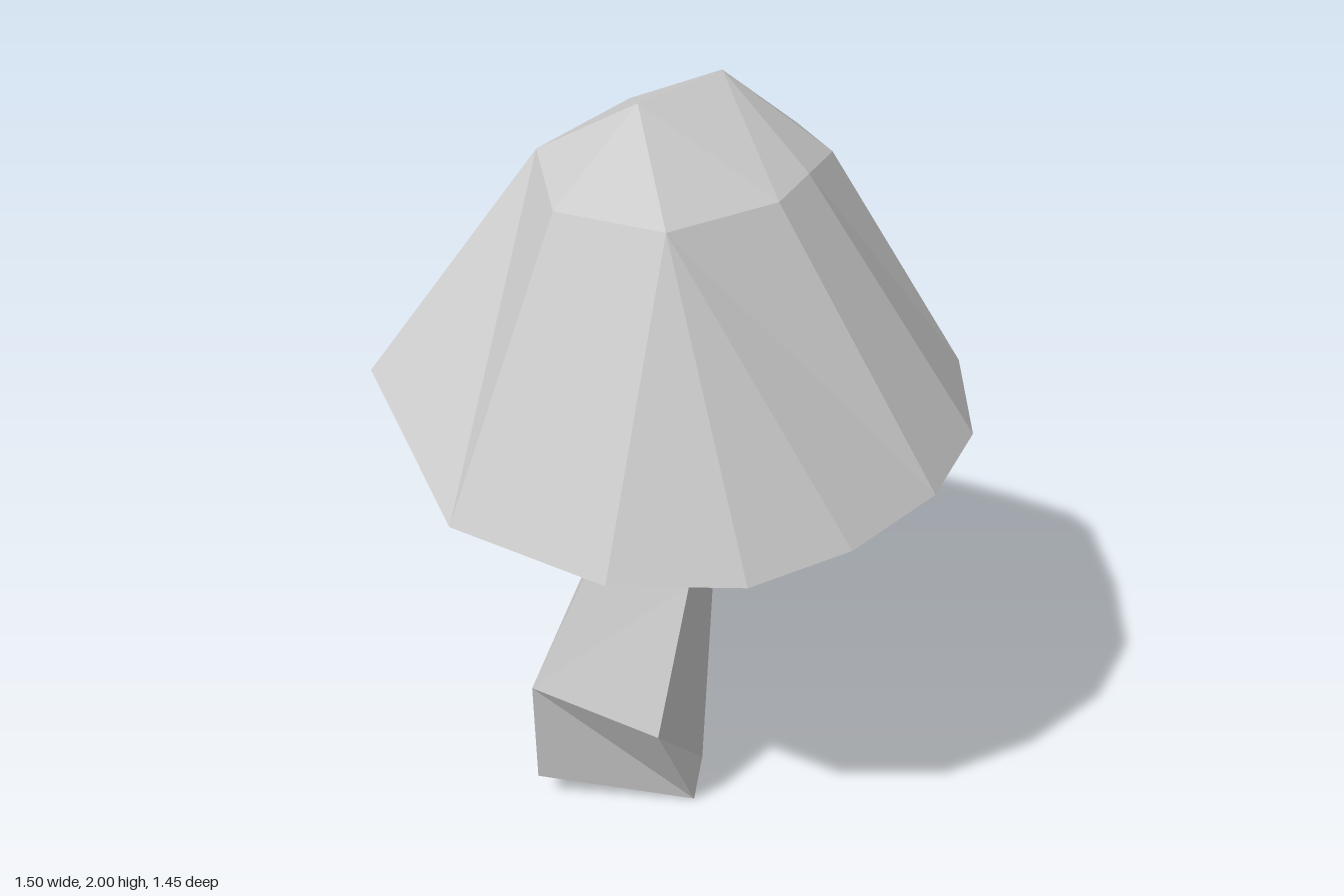
import * as THREE from 'three';

// Faceted mesh from convex polygons, each a list of [x, y, z] corners, counter-clockwise from outside
function facetMesh(name, polygons) {
  const pos = [];
  for (const p of polygons) {
    for (let i = 1; i < p.length - 1; i++) pos.push(...p[0], ...p[i], ...p[i + 1]);
  }
  const geo = new THREE.BufferGeometry();
  geo.setAttribute('position', new THREE.Float32BufferAttribute(pos, 3));
  geo.computeVertexNormals();
  const mat = new THREE.MeshStandardMaterial({ color: 0xcccccc, flatShading: true, side: THREE.DoubleSide });
  const mesh = new THREE.Mesh(geo, mat);
  mesh.name = name;
  return mesh;
}

// Quads between two rings that run front, +x, back, -x
function band(lower, upper) {
  return lower.map((p, i) => {
    const j = (i + 1) % lower.length;
    return [p, lower[j], upper[j], upper[i]];
  });
}

// Crooked five-sided stem; corners run front, +x, back, back, -x
function makeStem() {
  const foot = [[-0.07, 0, 0.17], [0.06, 0, 0.04], [0, 0.06, -0.33], [-0.18, 0.08, -0.38], [-0.41, 0.08, -0.09]];
  const waist = [[-0.09, 0.72, 0.17], [0.04, 0.72, 0.11], [0.03, 0.78, -0.1], [-0.12, 0.81, -0.13], [-0.22, 0.81, -0.03]];
  const neck = [[0.12, 1.13, -0.01], [0.07, 1.11, -0.13], [-0.06, 1.12, -0.17], [-0.14, 1, 0]];
  const top = [[0.06, 1.34, 0.05], [-0.01, 1.34, -0.08], [-0.07, 1.34, -0.1], [-0.11, 1.34, 0.12]];
  const [a, b, c, d, e] = foot;
  const [a3, b3, c3, d3, e3] = waist;
  const [f4, c4, d4, e4] = neck;
  const kneeA = [-0.23, 0.32, 0.22], kneeE = [-0.43, 0.4, -0.07];
  const side = [0.04, 0.78, 0.04], throat = [0, 0.97, 0.08];

  return facetMesh('stem', [
    [e, d, c, b, a],
    // lower stem
    [kneeA, a, b, b3, a3], [b, c, c3, side, b3], [c, d, d3, c3], [kneeE, e3, d3, d, e],
    [kneeE, e, a, kneeA], [kneeE, kneeA, a3, e3],
    // bend
    [throat, a3, b3, side, f4], [side, c3, c4, f4], [c3, d3, d4, c4], [d3, e3, e4, d4], [e3, a3, throat, e4],
    [e4, throat, f4],
    // neck
    ...band(neck, top), top,
  ]);
}

// Tilted cap: crown, skirt and hollow underside
function makeCap() {
  const S = [-0.13, 1.99, 0.02], T = [0.15, 2, -0.02];
  const shoulder = [
    [-0.38, 1.79, 0.03], [-0.26, 1.8, 0.3], [0.05, 1.8, 0.32], [0.2, 1.81, 0.25], [0.37, 1.79, 0.14],
    [0.34, 1.84, 0.04], [0.3, 1.83, -0.09], [0.39, 1.36, -0.53], [0.05, 1.88, -0.26], [-0.23, 1.815, -0.26],
  ];
  const [A, B, C, K, D, E, F, N, G, H] = shoulder;
  const rim = [
    [-0.75, 1.12, 0.11], [-0.57, 1.08, 0.48], [-0.31, 1.07, 0.67], [-0.04, 1.09, 0.72],
    [0.25, 1.12, 0.69], [0.49, 1.15, 0.57], [0.67, 1.2, 0.33], [0.75, 1.25, 0.04],
    [0.72, 1.29, -0.25], [0.58, 1.32, -0.5], [0.32, 1.32, -0.68], [0.06, 1.32, -0.73],
    [-0.24, 1.29, -0.7], [-0.61, 1.24, -0.48],
  ];

  // crown
  const faces = [
    [S, A, B], [S, B, C, T], [T, C, K, D], [T, D, E], [T, E, F],
    [T, F, G], [F, N, G], [S, T, G, H], [S, H, A],
  ];

  // skirt: walk round, each letter moving one corner along the rim (r) or the shoulder (s)
  let r = 0, s = 0;
  for (const step of 'rsrrrsrsrsrsrssrrrsrsrrs') {
    const low = rim[r], high = shoulder[s];
    if (step === 'r') {
      r = (r + 1) % rim.length;
      faces.push([low, rim[r], high]);
    } else {
      s = (s + 1) % shoulder.length;
      faces.push([low, shoulder[s], high]);
    }
  }

  // underside rising to the stem
  const peak = [0, 1.33, 0];
  const inner = rim.map(([x, y, z]) => [x * 0.76, y + (peak[1] - y) * 0.52, z * 0.76]);
  faces.push(...band(inner, rim));
  inner.forEach((p, i) => faces.push([p, peak, inner[(i + 1) % inner.length]]));
  return facetMesh('cap', faces);
}

export function createModel() {
  const group = new THREE.Group();
  group.name = 'mushroom';
  group.add(makeStem(), makeCap());
  return group;
}
